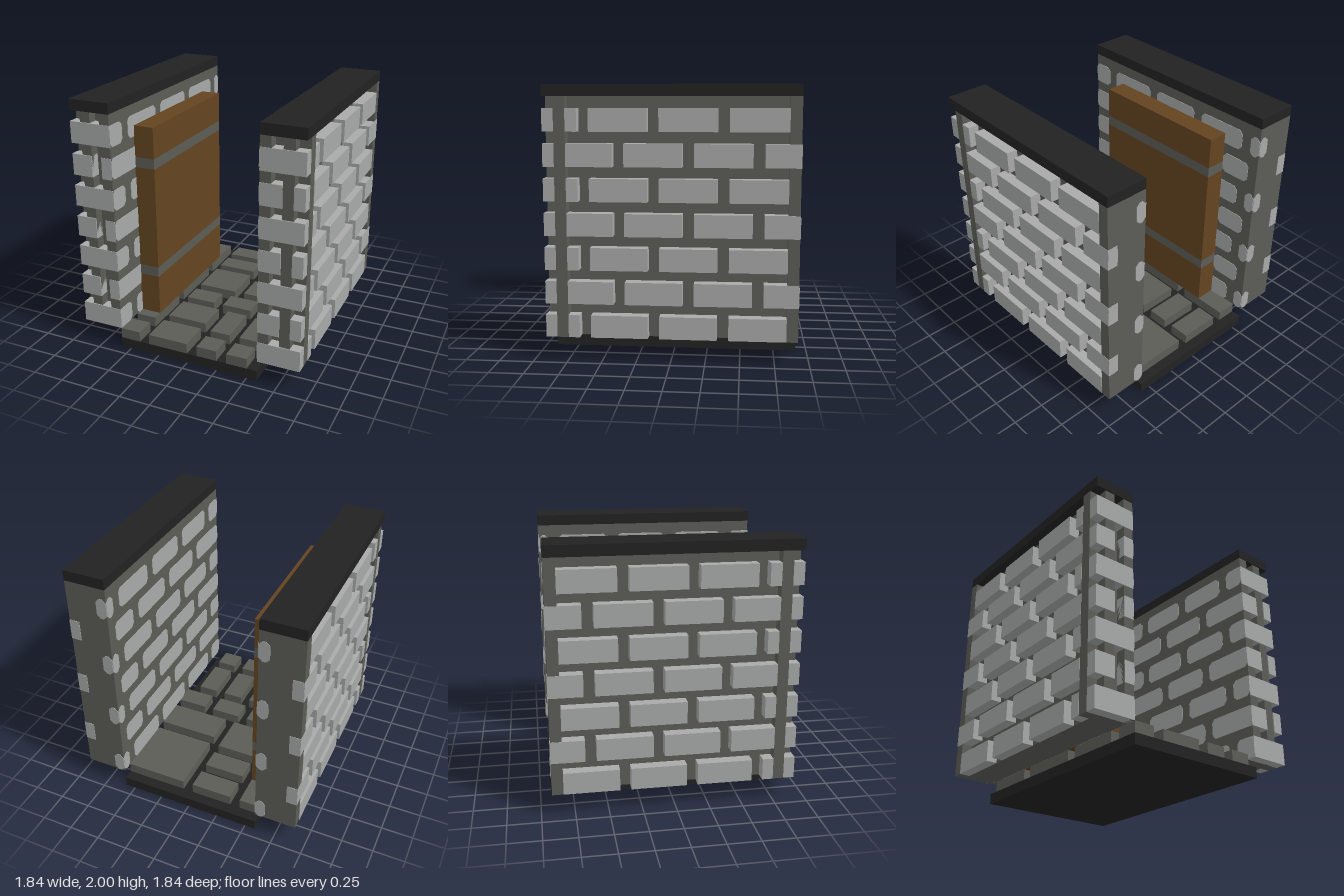
import * as THREE from 'three';

const U = 1 / 12; // building module; all part sizes below are in modules

const mat = (name, color) => {
  const m = new THREE.MeshStandardMaterial({ color });
  m.name = name;
  return m;
};

export function createModel() {
  const brick = mat('light stone', 0xa8aaa9);
  const mortar = mat('dark stone', 0x5c5c57);
  const black = mat('black', 0x222222);
  const wood = mat('wood', 0x644421);

  const model = new THREE.Group();
  model.name = 'corridor';

  const group = (name) => {
    const g = new THREE.Group();
    g.name = name;
    model.add(g);
    return g;
  };

  // Box between two corners, given as ranges
  const box = (parent, name, material, [x0, x1], [y0, y1], [z0, z1]) => {
    const geo = new THREE.BoxGeometry(Math.abs(x1 - x0) * U, (y1 - y0) * U, (z1 - z0) * U);
    const mesh = new THREE.Mesh(geo, material);
    mesh.position.set((x0 + x1) / 2 * U, (y0 + y1) / 2 * U, (z0 + z1) / 2 * U);
    mesh.name = name;
    parent.add(mesh);
    return mesh;
  };

  // Thin brick face with clipped corners, centred on the surface it decorates
  const brickFace = (parent, name, w, h, x, y, z, turn) => {
    const a = w / 2 * U, b = h / 2 * U, c = 0.35 * U, t = 0.008;
    const shape = new THREE.Shape([
      [-a + c, -b], [a - c, -b], [a, -b + c], [a, b - c],
      [a - c, b], [-a + c, b], [-a, b - c], [-a, -b + c],
    ].map(([p, q]) => new THREE.Vector2(p, q)));
    const geo = new THREE.ExtrudeGeometry(shape, { depth: t, bevelEnabled: false });
    geo.translate(0, 0, -t / 2);
    const mesh = new THREE.Mesh(geo, brick);
    mesh.position.set(x * U, y * U, z * U);
    mesh.rotation.y = turn;
    mesh.name = name;
    parent.add(mesh);
  };

  // Brick courses along z: outer side, and flush inner side
  const outerRows = [
    [[8, 9], [2, 7], [-4, 1], [-10, -5]],
    [[5, 9], [-1, 4], [-7, -2], [-11, -8]],
  ];
  const innerRows = [
    [[9, 11], [3, 8], [-3, 2], [-9, -4], [-11, -10]],
    [[6, 11], [0, 5], [-6, -1], [-10, -7]],
  ];

  // Two walls, mirrored across x
  for (const s of [1, -1]) {
    const wall = group(s > 0 ? 'leftWall' : 'rightWall');
    const x = (a, b) => [s * a, s * b];
    box(wall, 'wallCore', mortar, x(7, 10), [2, 23], [-10, 9]);
    box(wall, 'frontPlate', mortar, x(7, 11), [2, 23], [9, 10]);
    box(wall, 'backPlate', mortar, x(7, 11), [2, 23], [-11, -10]);
    box(wall, 'innerFrontStrip', mortar, x(7, 8), [2, 23], [10, 10.96]);
    box(wall, 'middleFrontStrip', mortar, x(9, 10), [2, 23], [10, 10.9]);
    box(wall, 'cap', black, x(7, 11), [23, 24], [-11, 11]);

    for (let i = 0; i < 7; i++) {
      const y = [2 + 3 * i, 4 + 3 * i], yc = y[0] + 1, odd = i % 2;
      // Raised bricks on the outside
      for (const z of outerRows[odd]) {
        const back = z[0] === -11 ? -11.03 : z[0];
        box(wall, 'outerBrick', brick, x(10, 11.03), y, [back, z[1]]);
      }
      // Raised bricks on the front end
      const fronts = !odd ? [[7, 11]] : s > 0 ? [[7, 9], [10, 11]] : [[9, 11], [7, 8]];
      for (const f of fronts) box(wall, 'frontBrick', brick, x(...f), y, [10, 11]);
      // Flush bricks on the inside and back end
      for (const [z0, z1] of innerRows[odd]) {
        brickFace(wall, 'innerBrick', z1 - z0, 2, s * 7, yc, (z0 + z1) / 2, Math.PI / 2);
      }
      brickFace(wall, 'backBrick', 1, 2, s * (odd ? 10.5 : 7.5), yc, -11, 0);
    }
  }

  // Floor slab with paving stones
  const floor = group('floor');
  box(floor, 'slab', black, [-7, 7], [0, 1], [-11, 11]);
  const stones = [
    [-7, -5, -10, -5], [-7, -5, -4, 2], [-7, -5, 3, 8], [-7, -5, 9, 11],
    [-4, 0, -10, -8], [-4, 0, -7, -5], [-4, 0, -4, 0], [-4, 0, 4, 7], [-4, 0, 8, 11],
    [-4, -1, 1, 3], [0, 3, 1, 3], [4, 7, 1, 3],
    [1, 7, -10, -4], [1, 7, -3, 0],
    [1, 3, 4, 8], [4, 6, 4, 8], [1, 3, 9, 11], [4, 6, 9, 11],
  ];
  for (const [x0, x1, z0, z1] of stones) {
    box(floor, 'pavingStone', mortar, [x0, x1], [1, 2], [z0, z1]);
  }

  // Wooden door with two flush metal bands
  const door = group('door');
  const levels = [2, 6, 7, 17, 18, 21];
  for (let i = 0; i < 5; i++) {
    box(door, i % 2 ? 'doorBand' : 'doorPanel', i % 2 ? mortar : wood,
      [-7, -5], [levels[i], levels[i + 1]], [-7, 7]);
  }

  return model;
}
